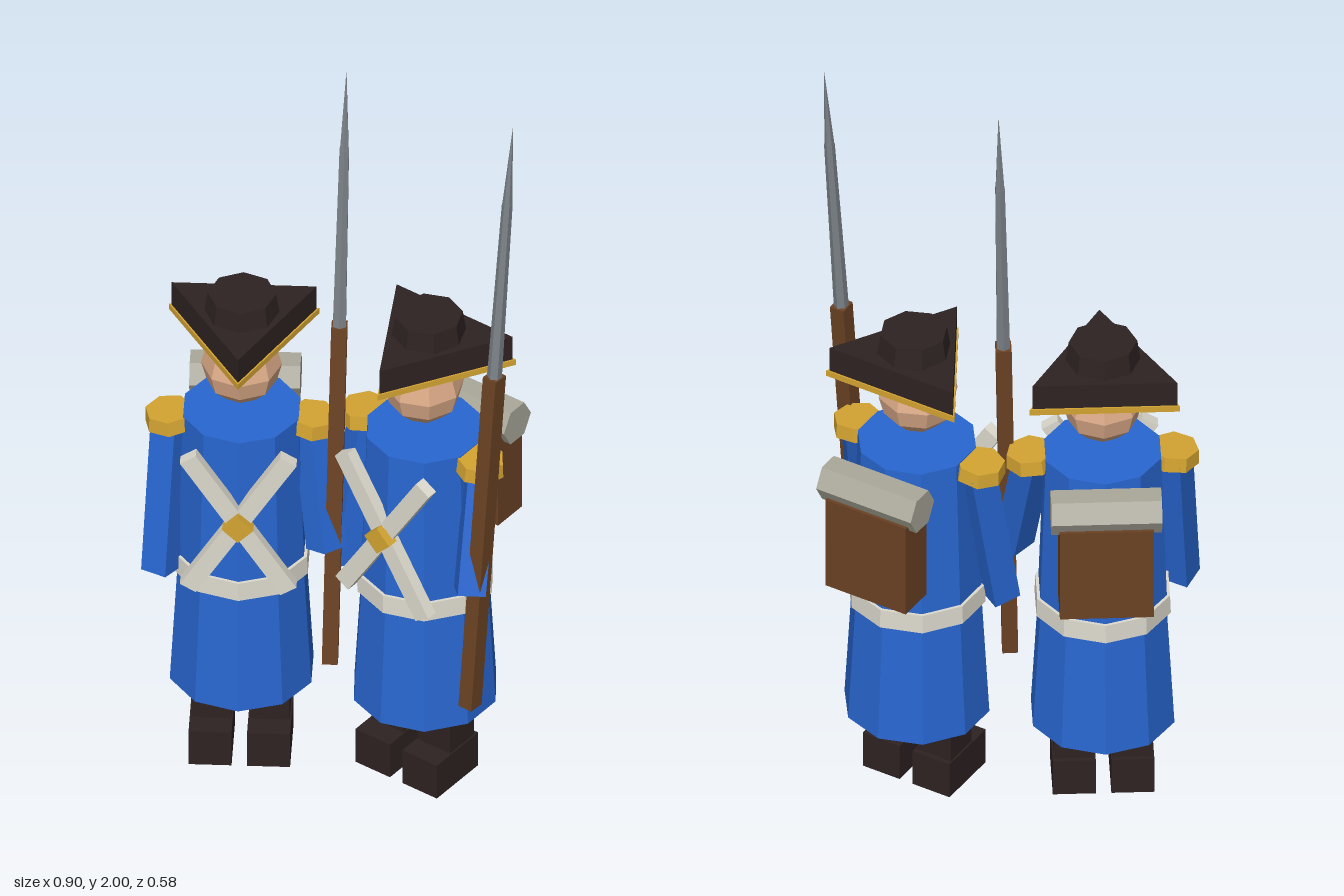
import * as THREE from 'three';

const material = (name, color) => {
  const m = new THREE.MeshStandardMaterial({ color, flatShading: true });
  m.name = name;
  return m;
};

export function createModel() {
  const blue = material('coat blue', 0x2866d0);
  const white = material('belt white', 0xdcd9cd);
  const gold = material('gold', 0xd4a432);
  const dark = material('dark felt and leather', 0x2e2222);
  const brown = material('wood and pack brown', 0x6b4224);
  const skin = material('skin', 0xdcab88);
  const grey = material('blanket grey', 0xaaa89a);
  const steel = material('steel', 0x7c8288);

  const box = (w, h, d) => new THREE.BoxGeometry(w, h, d);
  const prism = (top, bottom, h, sides) => new THREE.CylinderGeometry(top, bottom, h, sides);

  function add(parent, name, geometry, mat, x, y, z) {
    const mesh = new THREE.Mesh(geometry, mat);
    mesh.name = name;
    mesh.position.set(x, y, z);
    parent.add(mesh);
    return mesh;
  }

  // Places a piece whose length runs along y between two points
  function between(parent, name, a, b, makeGeometry, mat) {
    const dir = b.clone().sub(a);
    const mid = a.clone().add(b).multiplyScalar(0.5);
    const mesh = add(parent, name, makeGeometry(dir.length()), mat, mid.x, mid.y, mid.z);
    mesh.quaternion.setFromUnitVectors(new THREE.Vector3(0, 1, 0), dir.normalize());
    return mesh;
  }

  function soldier(name, x, z, turn) {
    const g = new THREE.Group();
    g.name = name;
    g.position.set(x, 0, z);
    g.rotation.y = turn;

    // Coat and waist belt
    add(g, 'torso', prism(0.145, 0.16, 0.43, 10), blue, 0, 0.775, 0);
    add(g, 'skirt', prism(0.158, 0.178, 0.35, 10), blue, 0, 0.385, 0);
    add(g, 'waistBelt', prism(0.167, 0.169, 0.05, 10), white, 0, 0.56, 0);

    // Legs, boots, epaulettes and crossed belts
    for (const s of [-1, 1]) {
      add(g, 'leg', box(0.095, 0.24, 0.095), dark, s * 0.07, 0.2, 0.01);
      add(g, 'boot', box(0.103, 0.098, 0.165), dark, s * 0.07, 0.049, 0.033);
      const pad = add(g, 'epaulette', prism(0.058, 0.062, 0.038, 7), gold, s * 0.172, 0.966, 0.01);
      pad.rotation.z = -s * 0.08;
      const strap = add(g, 'crossBelt', box(0.045, 0.455, 0.03), white, 0, 0.765, 0.158 + s * 0.001);
      strap.rotation.z = s * 0.557;
    }
    const badge = add(g, 'beltPlate', box(0.053, 0.053, 0.03), gold, 0, 0.765, 0.178);
    badge.rotation.z = Math.PI / 4;

    // Arms: one hanging, one holding the musket
    const arm = (len) => box(0.068, len, 0.068);
    between(g, 'rightArm', new THREE.Vector3(-0.17, 0.965, 0.0),
      new THREE.Vector3(-0.19, 0.555, 0.075), arm, blue);
    between(g, 'leftArm', new THREE.Vector3(0.168, 0.965, 0.0),
      new THREE.Vector3(0.207, 0.65, 0.098), arm, blue);

    // Musket: stock, barrel and bayonet along one slanted line
    const butt = new THREE.Vector3(0.217, 0.322, 0.111);
    const tip = new THREE.Vector3(0.25, 2.0, -0.017);
    const at = (t) => butt.clone().lerp(tip, t);
    between(g, 'musketStock', at(0), at(0.567), (l) => box(0.038, l, 0.042), brown);
    between(g, 'musketBarrel', at(0.567), at(0.865), (l) => prism(0.013, 0.018, l, 6), steel);
    between(g, 'bayonet', at(0.865), at(1), (l) => new THREE.ConeGeometry(0.012, l, 6), steel);

    // Head and three-cornered hat
    add(g, 'head', new THREE.SphereGeometry(0.097, 8, 6), skin, 0, 1.126, 0.005);
    add(g, 'hatTrim', prism(0.208, 0.208, 0.016, 3), gold, 0, 1.193, -0.018);
    add(g, 'hatBrim', prism(0.2, 0.2, 0.068, 3), dark, 0, 1.234, -0.018);
    add(g, 'hatCrown', prism(0.082, 0.09, 0.055, 8), dark, 0, 1.293, -0.015);

    // Backpack with rolled blanket
    add(g, 'backpack', box(0.225, 0.255, 0.095), brown, 0, 0.787, -0.188);
    const roll = add(g, 'blanketRoll', prism(0.054, 0.054, 0.265, 6), grey, 0, 0.945, -0.191);
    roll.rotation.z = Math.PI / 2;
    return g;
  }

  const model = new THREE.Group();
  model.name = 'soldiers';
  model.add(
    soldier('rightSoldier', -0.235, 0.078, THREE.MathUtils.degToRad(20)),
    soldier('leftSoldier', 0.2, -0.018, THREE.MathUtils.degToRad(-14)),
  );
  return model;
}
